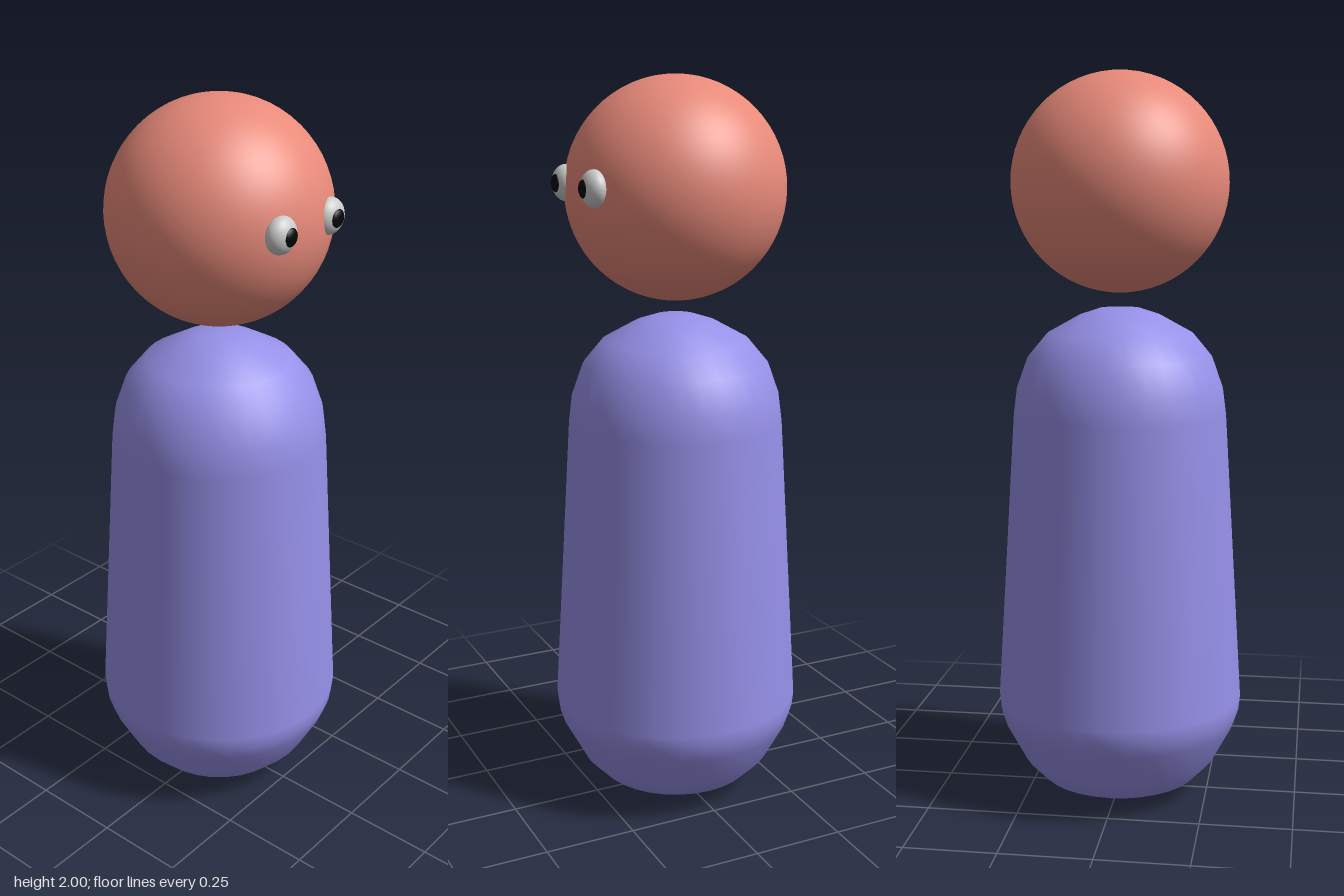
import * as THREE from 'three';

function addPart(parent, name, geometry, color) {
  const mesh = new THREE.Mesh(geometry, new THREE.MeshStandardMaterial({ color }));
  mesh.name = name;
  parent.add(mesh);
  return mesh;
}

export function createModel() {
  const model = new THREE.Group();
  model.name = 'pegFigure';

  // Body: tapered, rounded peg turned from a profile (bottom to top)
  const profile = [
    [0, 0], [0.08, 0.003], [0.15, 0.015], [0.22, 0.046], [0.27, 0.098],
    [0.325, 0.2], [0.338, 0.24], [0.342, 0.28],
    [0.293, 1.08], [0.284, 1.15], [0.254, 1.235], [0.2, 1.3],
    [0.11, 1.35], [0.055, 1.368], [0, 1.37],
  ].map(([r, y]) => new THREE.Vector2(r, y));
  addPart(model, 'body', new THREE.LatheGeometry(profile, 32), 0x9690e8);

  // Head: ball floating just above the body
  const head = addPart(model, 'head', new THREE.SphereGeometry(0.295, 64, 32), 0xe88a7a);
  head.position.y = 1.705;

  // Eyes: flattened balls with a dark pupil on the front
  for (const [side, name] of [[1, 'left'], [-1, 'right']]) {
    const eye = new THREE.Group();
    eye.name = name + 'Eye';
    eye.position.set(side * 0.097, 1.723, 0.273);
    model.add(eye);

    const ball = addPart(eye, name + 'Eyeball', new THREE.SphereGeometry(0.048, 32, 16), 0xcccccc);
    ball.scale.z = 0.72;

    const pupil = addPart(eye, name + 'Pupil', new THREE.SphereGeometry(0.024, 24, 12), 0x050505);
    pupil.position.set(-side * 0.002, 0, 0.028);
    pupil.scale.z = 0.46;
  }
  return model;
}
